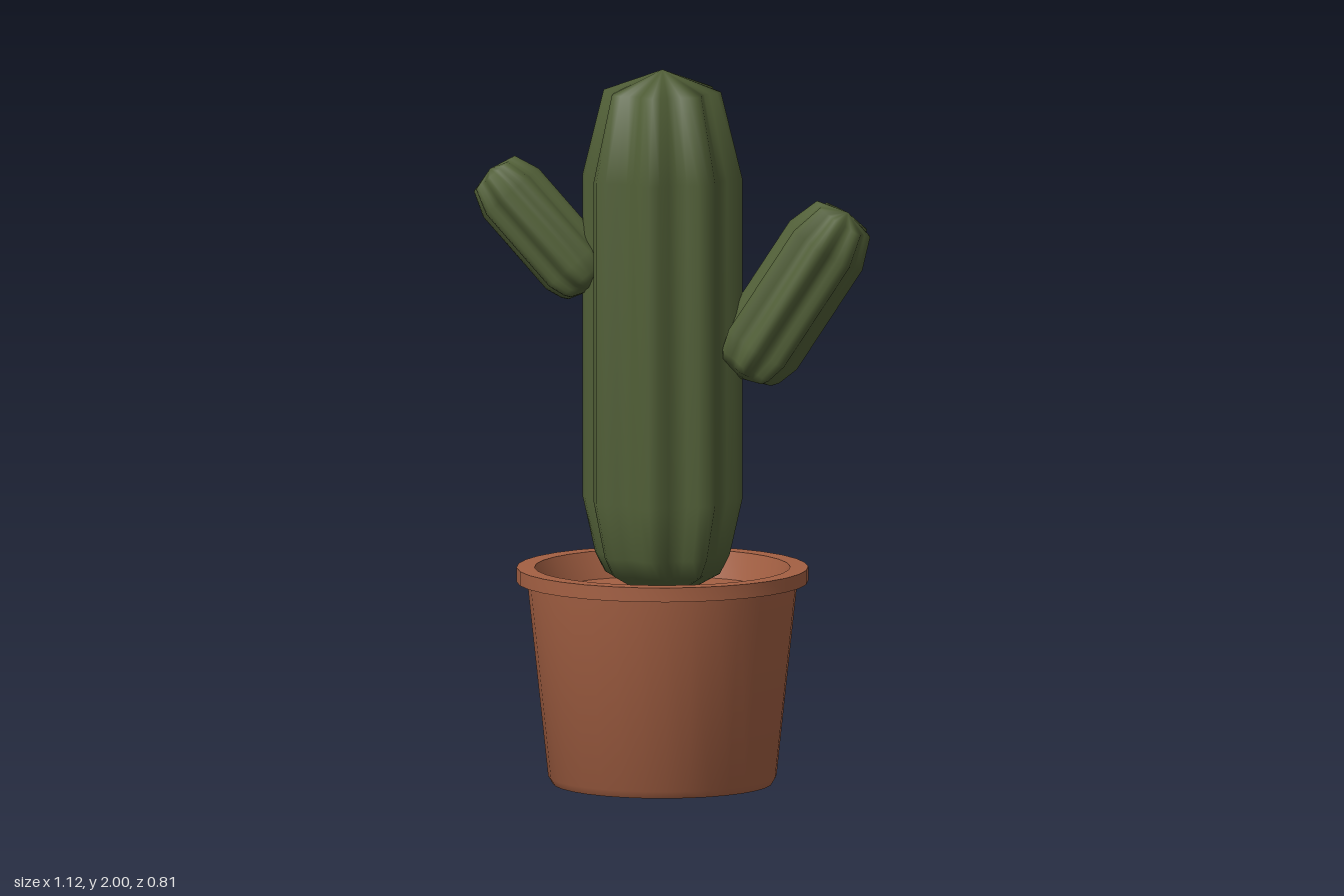
import * as THREE from 'three';
import { mergeVertices, toCreasedNormals } from 'three/addons/utils/BufferGeometryUtils.js';

const CENTER_X = -0.025;
const toPoints = (pairs) => pairs.map(([r, y]) => new THREE.Vector2(r, y));

// Ribbed stem of radius 1 and height 1, scaled to make the trunk and the arms
function stemGeometry(radius, length) {
  const profile = [[0, 0], [0.72, 0.06], [0.84, 0.095], [1, 0.2], [1, 0.8], [0.735, 0.96], [0, 1]];
  let geometry = new THREE.LatheGeometry(toPoints(profile), 48);
  geometry.deleteAttribute('uv');
  geometry.deleteAttribute('normal');
  const p = geometry.attributes.position;
  for (let i = 0; i < p.count; i++) {
    const angle = Math.atan2(p.getX(i), p.getZ(i));
    const rib = (0.915 + 0.085 * Math.cos(8 * angle)) * radius;
    p.setXYZ(i, p.getX(i) * rib, p.getY(i) * length, p.getZ(i) * rib);
  }
  geometry = mergeVertices(geometry, 1e-5);
  geometry.computeVertexNormals();
  return geometry;
}

export function createModel() {
  const group = new THREE.Group();
  const green = new THREE.MeshStandardMaterial({ color: 0x515f37 });
  green.name = 'cactus green';
  const terracotta = new THREE.MeshStandardMaterial({ color: 0xa46043 });
  terracotta.name = 'terracotta';

  // Pot: tapered wall, overhanging rim and recessed fill in one profile
  const potProfile = [
    [0, 0], [0.305, 0], [0.317, 0.02], [0.375, 0.565], [0.405, 0.565],
    [0.405, 0.605], [0.355, 0.605], [0.33, 0.53], [0, 0.53],
  ];
  const potGeometry = toCreasedNormals(new THREE.LatheGeometry(toPoints(potProfile), 32), 0.5);
  const pot = new THREE.Mesh(potGeometry, terracotta);
  pot.name = 'pot';
  pot.position.x = CENTER_X;
  group.add(pot);

  // Stems: each runs from its base to its tip
  const addStem = (name, radius, base, tip) => {
    const from = new THREE.Vector3(...base);
    const axis = new THREE.Vector3(...tip).sub(from);
    const stem = new THREE.Mesh(stemGeometry(radius, axis.length()), green);
    stem.name = name;
    stem.position.copy(from);
    stem.quaternion.setFromUnitVectors(new THREE.Vector3(0, 1, 0), axis.normalize());
    group.add(stem);
  };
  addStem('trunk', 0.225, [CENTER_X, 0.5, 0], [CENTER_X, 2, 0]);
  addStem('leftArm', 0.122, [0.19, 1.14, 0], [0.497, 1.612, 0]);
  addStem('rightArm', 0.105, [-0.215, 1.38, 0], [-0.51, 1.71, 0]);

  return group;
}
